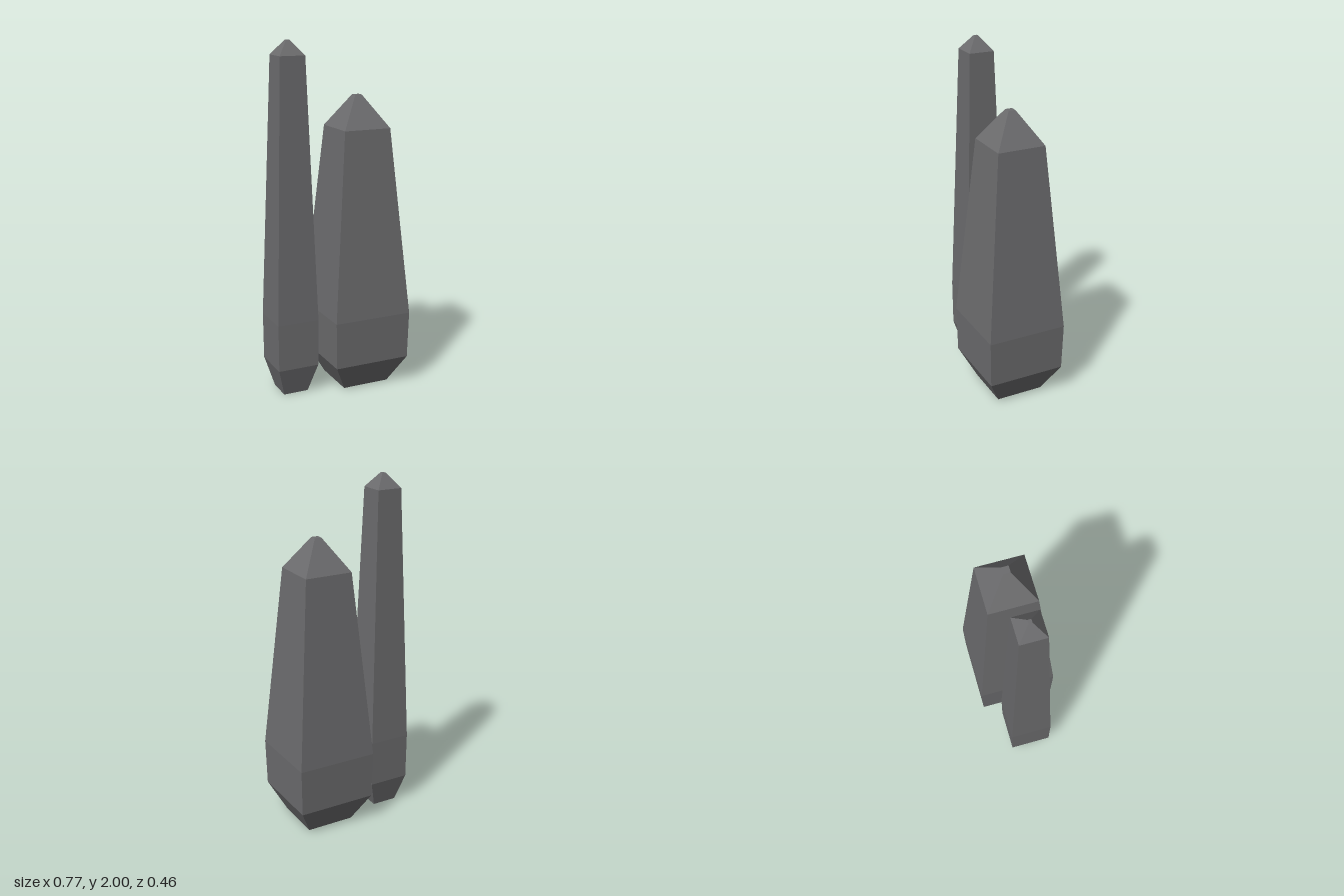
import * as THREE from 'three';

// Square-section pillar from [halfWidth, height] pairs, closed at both ends
function pillar(name, x, profile, material) {
  const points = profile.map(([half, y]) => new THREE.Vector2(half * Math.SQRT2, y));
  points.unshift(new THREE.Vector2(0, profile[0][1]));
  points.push(new THREE.Vector2(0, profile[profile.length - 1][1]));
  const geometry = new THREE.LatheGeometry(points, 4, Math.PI / 4).toNonIndexed();
  geometry.computeVertexNormals();
  const mesh = new THREE.Mesh(geometry, material);
  mesh.name = name;
  mesh.position.x = x;
  return mesh;
}

export function createModel() {
  const group = new THREE.Group();
  group.name = 'crystalPillars';
  const stone = new THREE.MeshStandardMaterial({ color: 0x6c6c6e });
  stone.name = 'grey stone';

  // Broad, shorter crystal on the left
  group.add(pillar('broadCrystal', 0.153,
    [[0.139, 0], [0.226, 0.168], [0.232, 0.44], [0.139, 1.51], [0.02, 1.69]], stone));

  // Slim, taller crystal on the right
  group.add(pillar('slimCrystal', -0.263,
    [[0.073, 0], [0.12, 0.168], [0.122, 0.44], [0.073, 1.92], [0.01, 2]], stone));

  return group;
}
